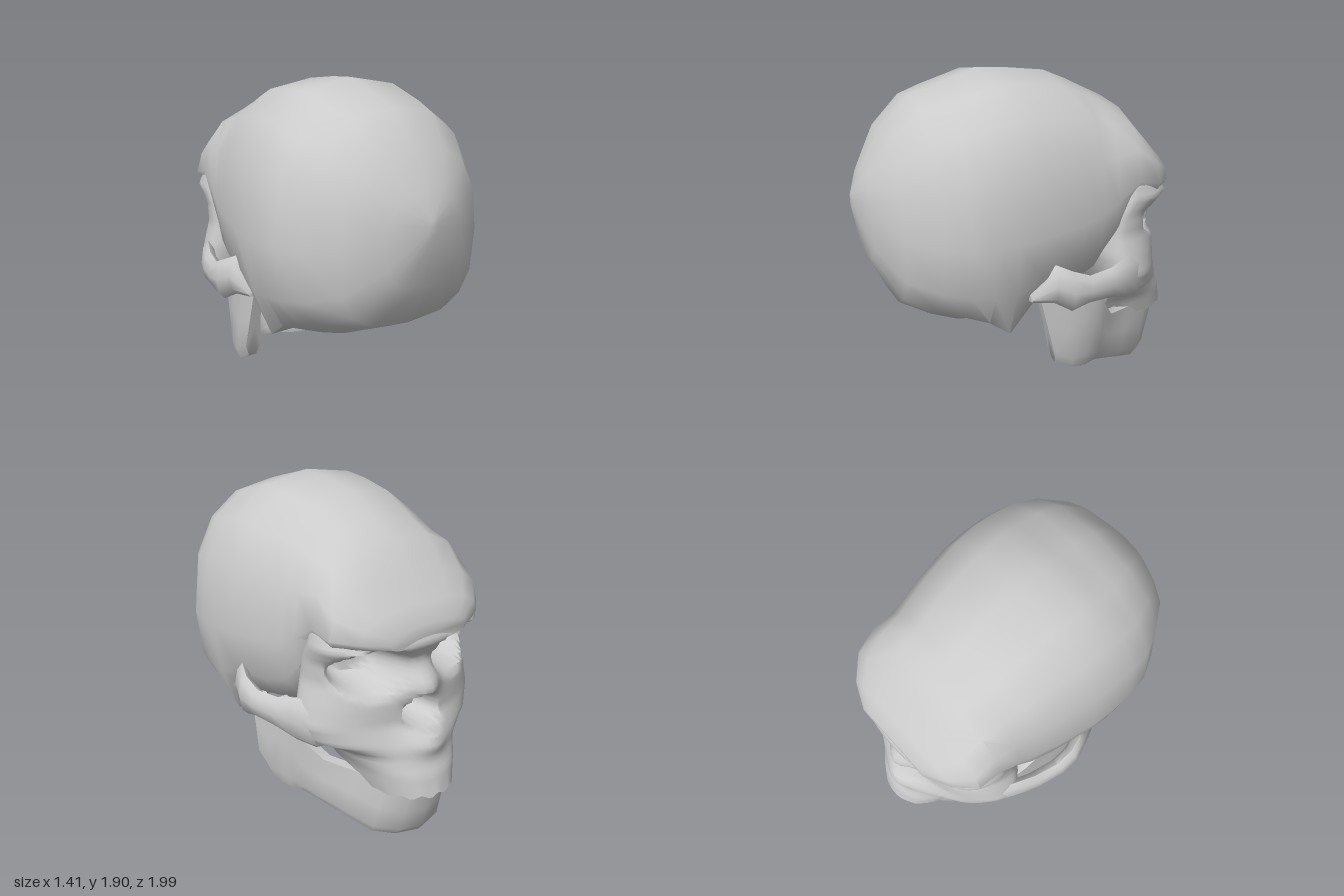
import * as THREE from 'three';
import { toCreasedNormals } from 'three/addons/utils/BufferGeometryUtils.js';

const material = new THREE.MeshStandardMaterial({ color: 0xcccccc });
const { clamp, lerp, smoothstep } = THREE.MathUtils;

// Closed skin over rings of [x, y, z] points, capped at both ends and turned outwards
function loft(name, rings, crease) {
  const n = rings[0].length, pts = rings.flat(), idx = [];
  const centre = (ring) => [0, 1, 2].map((k) => ring.reduce((s, p) => s + p[k], 0) / n);
  for (let i = 0; i < rings.length - 1; i++) {
    for (let j = 0; j < n; j++) {
      const a = i * n + j, b = i * n + (j + 1) % n;
      idx.push([a, b, a + n], [b, b + n, a + n]);
    }
  }
  const first = pts.push(centre(rings[0])) - 1;
  const last = pts.push(centre(rings.at(-1))) - 1, base = (rings.length - 1) * n;
  for (let j = 0; j < n; j++) {
    const k = (j + 1) % n;
    idx.push([first, k, j], [last, base + j, base + k]);
  }
  const v = pts.map((p) => new THREE.Vector3(...p));
  const volume = idx.reduce((s, [a, b, c]) => s + v[a].dot(v[b].clone().cross(v[c])), 0);
  if (volume < 0) idx.forEach((t) => t.reverse());
  const geo = new THREE.BufferGeometry().setFromPoints(v);
  geo.setIndex(idx.flat());
  const mesh = new THREE.Mesh(toCreasedNormals(geo, crease), material);
  mesh.name = name;
  return mesh;
}

const spow = (v, e) => Math.sign(v) * Math.abs(v) ** e;
const bump = (a, b) => Math.exp(-a * a - b * b);

// Braincase: rounded sections from the back of the head to the brow
function cranium() {
  const stations = [ // z, top, bottom, widest height, half width
    [0.995, 1.26, 1.17, 1.22, 0.03],
    [0.93, 1.40, 0.88, 1.15, 0.245],
    [0.81, 1.62, 0.64, 1.10, 0.46],
    [0.64, 1.785, 0.56, 1.08, 0.58],
    [0.5, 1.83, 0.52, 1.08, 0.655],
    [0.37, 1.87, 0.54, 1.08, 0.67],
    [0.25, 1.91, 0.58, 1.08, 0.67],
    [0.08, 1.90, 0.62, 1.10, 0.66],
    [-0.16, 1.87, 0.64, 1.12, 0.61],
    [-0.3, 1.81, 0.70, 1.15, 0.575],
    [-0.4, 1.76, 0.85, 1.2, 0.55],
    [-0.535, 1.695, 1.17, 1.3, 0.535],
    [-0.67, 1.525, 1.19, 1.27, 0.52],
    [-0.78, 1.40, 1.2, 1.26, 0.41],
    [-0.85, 1.305, 1.19, 1.24, 0.26],
  ];
  const n = 16;
  return loft('cranium', stations.map(([z, top, bottom, mid, w]) =>
    Array.from({ length: n }, (_, i) => {
      const a = i / n * Math.PI * 2, c = Math.cos(a), s = Math.sin(a);
      const e = 2 / (s > 0 ? 2.4 : 2.9);
      const x = w * spow(c, e);
      let y = mid + (s > 0 ? top - mid : mid - bottom) * spow(s, e);
      // bony points behind the jaw joint
      if (s < 0) y -= 0.19 * bump((Math.abs(x) - 0.52) / 0.1, (z - 0.25) / 0.12);
      return [x, y, z];
    })), 0.95);
}

// Face: stacked plan sections with the sockets and nose opening pressed in
function face() {
  const rows = [ // y, half width, front z, side z, depth behind, squareness
    [1.36, 0.49, -0.70, -0.50, 0.1, 1],
    [1.28, 0.525, -0.83, -0.52, 0.1, 0.9],
    [1.20, 0.54, -0.865, -0.53, 0.2, 0.8],
    [1.10, 0.53, -0.81, -0.47, 0.2, 1],
    [0.98, 0.53, -0.81, -0.45, 0.2, 1],
    [0.86, 0.56, -0.82, -0.46, 0.2, 1],
    [0.74, 0.585, -0.82, -0.47, 0.15, 1],
    [0.64, 0.55, -0.86, -0.47, 0.1, 1],
    [0.56, 0.38, -0.91, -0.46, 0.05, 0.8],
    [0.45, 0.31, -0.965, -0.46, 0.03, 0.65],
    [0.33, 0.27, -0.99, -0.46, 0.02, 0.6],
    [0.33, 0.20, -0.92, -0.47, 0.02, 0.6],
    [0.45, 0.12, -0.80, -0.48, 0.01, 0.7],
  ];
  const n = 80, sub = 4, rings = [];
  for (let k = 0; k <= (rows.length - 1) * sub; k++) {
    const i = Math.min(Math.floor(k / sub), rows.length - 2);
    const [y0, w, front, side, back, p] = rows[i].map((v, m) => lerp(v, rows[i + 1][m], k / sub - i));
    rings.push(Array.from({ length: n }, (_, j) => {
      const a = j / n * Math.PI * 2, c = Math.cos(a), x = w * Math.sin(a);
      let y = y0, z = c > 0 ? side + (front - side) * c ** p : side - back * c;
      if (c > 0 && i < 9) {
        // eye sockets
        const eye = Math.hypot((Math.abs(x) - 0.28) / 0.21, (y - 1.06) / 0.155);
        z += 0.26 * (1 - smoothstep(eye, 0.5, 1.05)) * Math.min(1, c * 2);
        // nose opening, narrower at the top
        const nose = Math.hypot(x / lerp(0.14, 0.08, clamp((y - 0.7) / 0.2, 0, 1)), (y - 0.79) / 0.12);
        z += 0.2 * (1 - smoothstep(nose, 0.6, 1.05));
        // nasal bones, upper gum and the spine below the opening
        z -= 0.09 * bump(x / 0.1, (y - 0.94) / 0.085);
        z -= 0.08 * bump(x / 0.14, (y - 0.63) / 0.07);
        z -= 0.05 * bump(x / 0.05, (y - 0.69) / 0.03);
      }
      // tooth row: scalloped edge rising at the rear
      if (i >= 9) {
        const edge = smoothstep(0.45 - y0, 0, 0.12);
        y += edge * (0.012 * Math.max(c, 0) * Math.cos(a * 16) + 0.1 * clamp((z + 0.62) / 0.16, 0, 1));
      }
      return [x, y, z];
    }));
  }
  return loft('face', rings, 1.1);
}

// Cheek arch on one side
function cheekArch(side) {
  const stations = [ // z, outer x, top, bottom
    [0.15, 0.62, 0.75, 0.70],
    [0.02, 0.675, 0.92, 0.69],
    [-0.07, 0.705, 0.88, 0.64],
    [-0.18, 0.70, 0.835, 0.67],
    [-0.33, 0.665, 0.845, 0.66],
    [-0.45, 0.62, 0.88, 0.62],
    [-0.55, 0.565, 0.85, 0.60],
    [-0.66, 0.46, 0.80, 0.65],
  ];
  return loft(side > 0 ? 'leftCheekArch' : 'rightCheekArch', stations.map(([z, x, top, bottom]) =>
    Array.from({ length: 8 }, (_, i) => {
      const a = i / 8 * Math.PI * 2;
      return [side * (x - 0.05 + 0.05 * Math.cos(a)), (top + bottom) / 2 + (top - bottom) / 2 * Math.sin(a), z];
    })), 1.2);
}

// Lower jaw: one band swept from joint to joint around the chin
function jaw() {
  const half = [ // top xyz, bottom xyz, direction the outside faces
    [0.54, 0.72, 0.08, 0.56, 0.26, -0.03, 0],
    [0.54, 0.66, -0.08, 0.56, 0.20, -0.14, 0],
    [0.53, 0.76, -0.20, 0.53, 0.18, -0.24, 0],
    [0.52, 0.70, -0.32, 0.50, 0.175, -0.29, 0],
    [0.49, 0.55, -0.37, 0.47, 0.165, -0.34, 0.2],
    [0.40, 0.43, -0.46, 0.42, 0.13, -0.43, 0.3],
    [0.30, 0.40, -0.62, 0.34, 0.07, -0.57, 0.4],
    [0.22, 0.36, -0.80, 0.26, 0.015, -0.72, 0.6],
    [0.12, 0.34, -0.91, 0.15, 0.005, -0.82, 1.1],
  ];
  const ring = ([x1, y1, z1, x2, y2, z2, a], s) => {
    const dx = -Math.cos(a), dz = Math.sin(a);
    // t runs down the band, d is the inset from its outer face
    const at = (t, d) => [s * (lerp(x1, x2, t) + dx * d), lerp(y1, y2, t), lerp(z1, z2, t) + dz * d];
    return [at(0, 0), at(0.45, 0), at(0.85, 0), at(1, 0.03), at(1, 0.08), at(0.85, 0.1), at(0.45, 0.07), at(0, 0.06)];
  };
  const chin = [0, 0.33, -0.92, 0, 0.005, -0.87, Math.PI / 2];
  return loft('lowerJaw', [
    ...half.map((h) => ring(h, 1)),
    ring(chin, 1),
    ...half.map((h) => ring(h, -1)).reverse(),
  ], 0.9);
}

export function createModel() {
  const skull = new THREE.Group();
  skull.name = 'skull';
  skull.add(cranium(), face(), cheekArch(1), cheekArch(-1), jaw());
  return skull;
}
